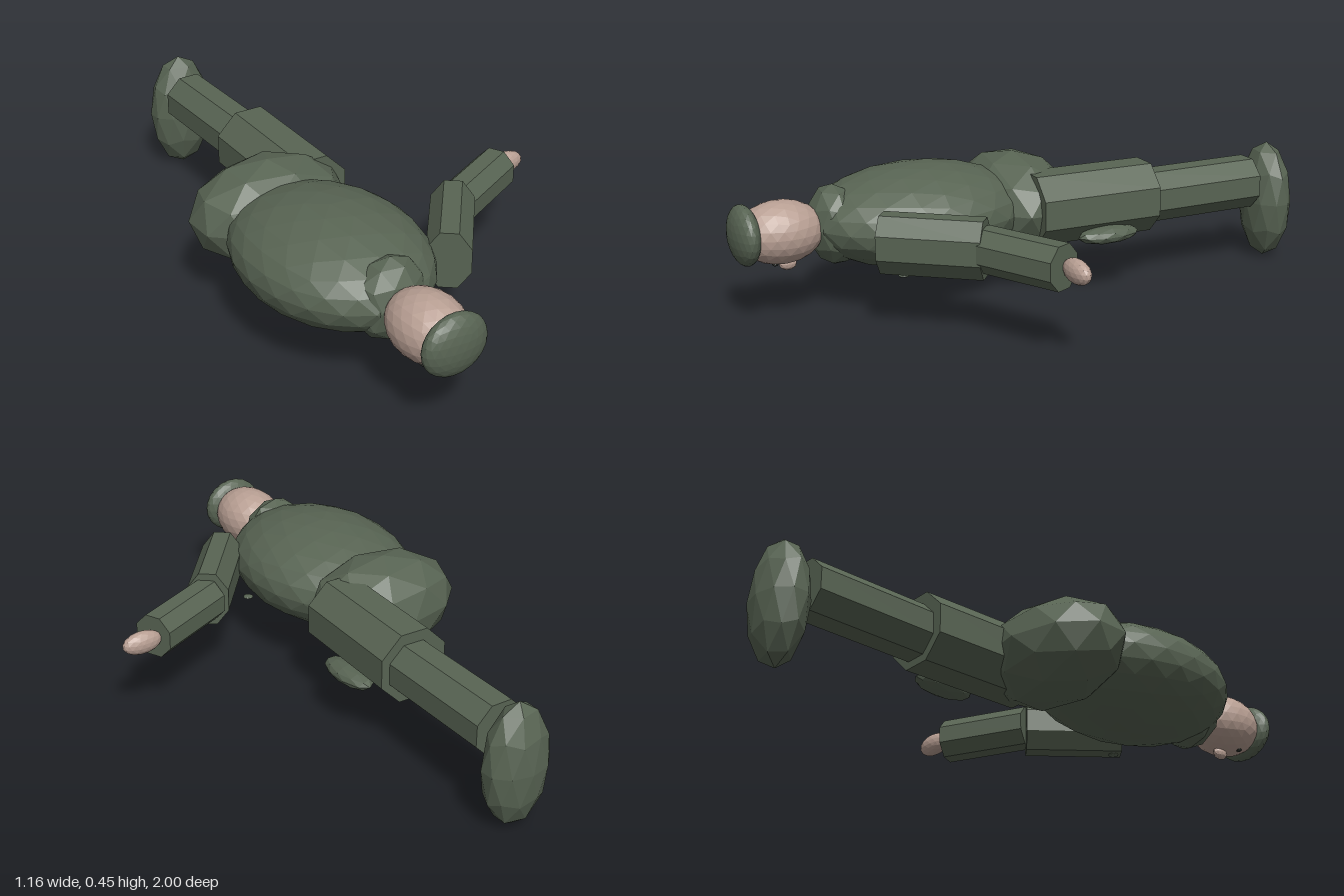
import * as THREE from 'three';

const green = new THREE.MeshStandardMaterial({ color: 0x586453, flatShading: true });
green.name = 'uniform green';
const skin = new THREE.MeshStandardMaterial({ color: 0xb89f93, flatShading: true });
skin.name = 'skin';
const dark = new THREE.MeshStandardMaterial({ color: 0x2c302a, flatShading: true });
dark.name = 'dark eye';

// Faceted ellipsoid with its poles on the y axis
function blob(name, material, detail, [x, y, z], [rx, ry, rz], turn = 0) {
  const geometry = new THREE.IcosahedronGeometry(1, detail);
  geometry.rotateZ(-Math.atan(2 / (1 + Math.sqrt(5))));
  geometry.scale(rx, ry, rz);
  const mesh = new THREE.Mesh(geometry, material);
  mesh.name = name;
  mesh.position.set(x, y, z);
  mesh.rotation.y = turn;
  return mesh;
}

// Eight-sided limb segment between two points, flat faces up and down
function limb(name, from, to, halfWidth, halfHeight) {
  const a = new THREE.Vector3(...from);
  const b = new THREE.Vector3(...to);
  const radius = 1 / Math.cos(Math.PI / 8);
  const geometry = new THREE.CylinderGeometry(radius, radius, a.distanceTo(b), 8);
  geometry.rotateY(Math.PI / 8);
  geometry.scale(halfWidth, 1, halfHeight);
  geometry.rotateX(Math.PI / 2);
  const mesh = new THREE.Mesh(geometry, green);
  mesh.name = name;
  mesh.position.copy(a).add(b).multiplyScalar(0.5);
  mesh.lookAt(b);
  return mesh;
}

export function createModel() {
  const model = new THREE.Group();
  model.name = 'lyingFigure';
  const cx = -0.297;
  const cy = 0.286;

  // Body, lying face down with the head toward the front
  model.add(
    blob('torso', green, 3, [cx, cy, 0.35], [0.285, 0.167, 0.38]),
    blob('hips', green, 1, [cx, cy, 0], [0.27, 0.168, 0.187]),
    blob('collar', green, 1, [cx, cy, 0.65], [0.122, 0.135, 0.085]),
    blob('chestButton', green, 1, [-0.08, 0.15, 0.5], [0.018, 0.006, 0.018])
  );

  // Head with cap, nose and eyes
  model.add(
    blob('head', skin, 3, [cx, cy, 0.83], [0.11, 0.104, 0.145]),
    blob('cap', green, 3, [cx, 0.291, 0.95], [0.111, 0.099, 0.046]),
    blob('nose', skin, 1, [cx, 0.177, 0.81], [0.018, 0.022, 0.03])
  );
  for (const side of [-1, 1]) {
    model.add(blob('eye', dark, 1, [cx + side * 0.04, 0.193, 0.865], [0.01, 0.006, 0.01]));
  }

  // Left arm, reaching out sideways
  model.add(
    limb('upperArm', [-0.034, cy, 0.59], [0.18, cy, 0.336], 0.07, 0.094),
    limb('forearm', [0.175, cy, 0.341], [0.458, cy, 0.214], 0.066, 0.07),
    blob('hand', skin, 2, [0.508, cy, 0.198], [0.07, 0.039, 0.031])
  );

  // Left leg, stretched backward with the toe pointing down
  model.add(
    limb('thigh', [-0.132, 0.292, 0.015], [-0.112, 0.292, -0.415], 0.118, 0.118),
    limb('shin', [-0.11, 0.286, -0.4], [-0.103, 0.286, -0.84], 0.087, 0.087),
    blob('shoe', green, 1, [-0.098, 0.21, -0.92], [0.115, 0.21, 0.081]),
    blob('holster', green, 1, [-0.01, 0.202, -0.215], [0.05, 0.03, 0.115])
  );

  return model;
}
